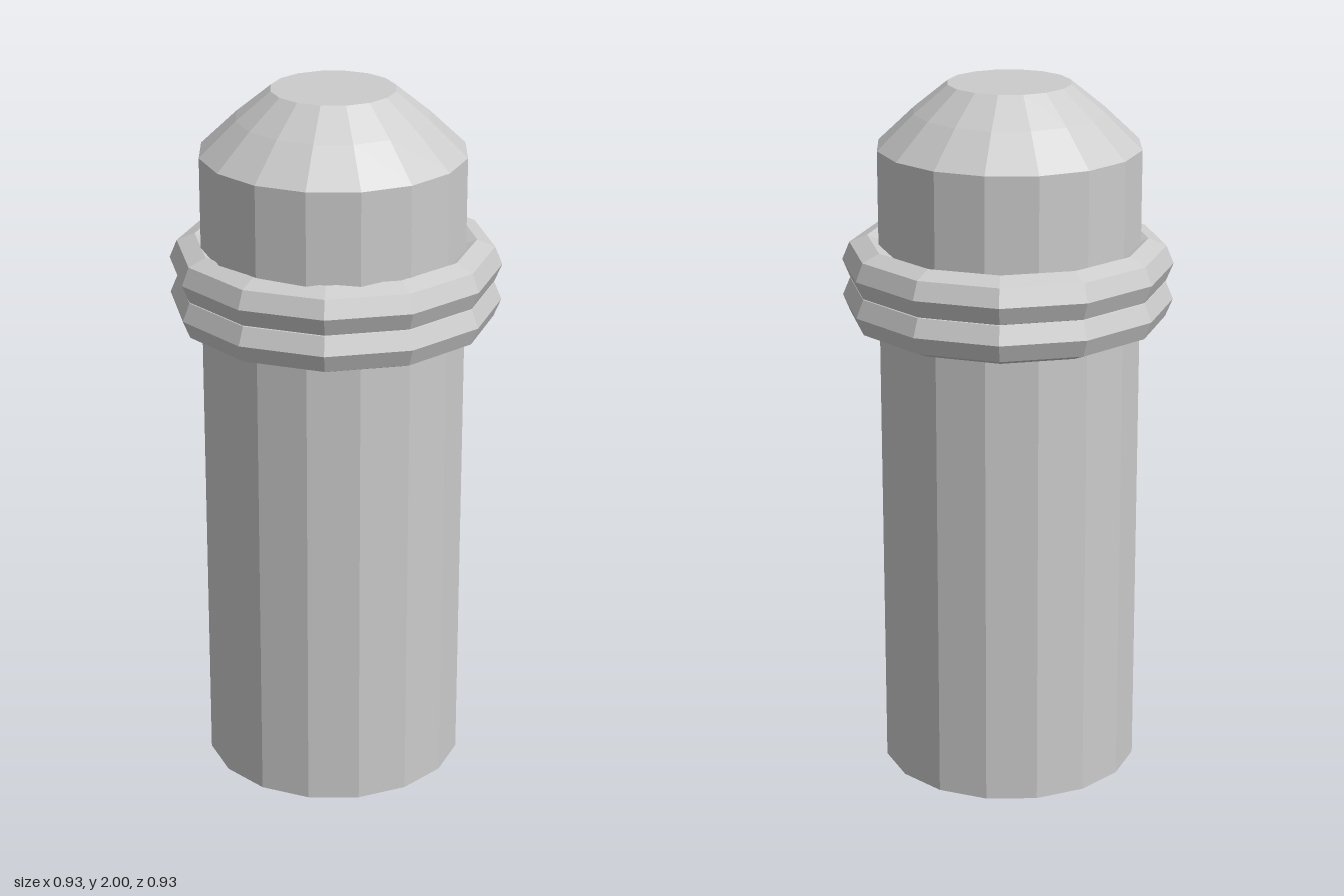
import * as THREE from 'three';

export function createModel() {
  const model = new THREE.Group();
  const material = new THREE.MeshStandardMaterial({ color: 0xcccccc, flatShading: true });

  const add = (name, geometry, x, y, z) => {
    const mesh = new THREE.Mesh(geometry, material);
    mesh.name = name;
    mesh.position.set(x, y, z);
    model.add(mesh);
    return mesh;
  };

  // Sixteen-sided post with a bevelled, flat-topped cap, slightly off the ring axis
  const profile = [
    [0, 0], [0.37, 0], [0.37, 1.825], [0.268, 1.922], [0.172, 2], [0, 2],
  ].map(([r, y]) => new THREE.Vector2(r, y));
  add('post', new THREE.LatheGeometry(profile, 16), 0.008, 0, 0.022);

  // Two overlapping twelve-sided collar rings
  const ring = new THREE.TorusGeometry(0.392, 0.071, 8, 12).rotateX(Math.PI / 2);
  add('lowerRing', ring, 0, 1.396, 0);
  add('upperRing', ring, 0, 1.499, 0);

  return model;
}
